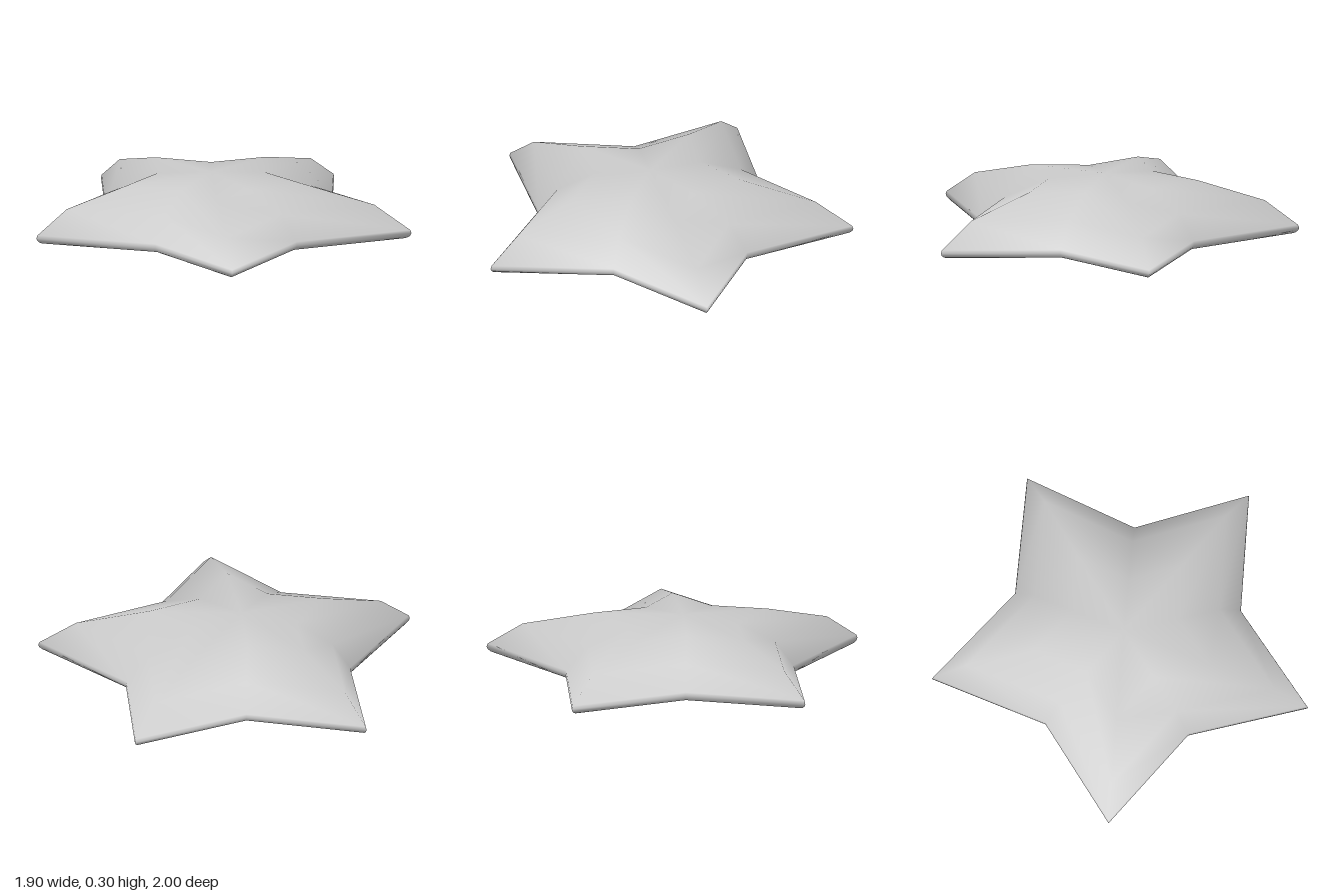
import * as THREE from 'three';

// Star outline as [x, z], tips and notches alternating, mirrored across z = 0
const half = [[0.72, 0], [0.95, 0.59], [0.3, 0.6], [-0.215, 1], [-0.42, 0.38], [-0.95, 0]];
const outline = [...half, ...half.slice(1, -1).reverse().map(([x, z]) => [x, -z])];

// Rings from the underside to the crown: [outline scale, height]
const rings = [
  [0.965, 0], [0.98, 0.005], [0.994, 0.016], [1, 0.03], [0.994, 0.047],
  [0.82, 0.175], [0.47, 0.27],
];

function makeMesh(name, positions, index) {
  const geometry = new THREE.BufferGeometry();
  geometry.setAttribute('position', new THREE.Float32BufferAttribute(positions, 3));
  geometry.setIndex(index);
  geometry.computeVertexNormals();
  const mesh = new THREE.Mesh(geometry, new THREE.MeshStandardMaterial({ color: 0xcccccc }));
  mesh.name = name;
  return mesh;
}

const ringPoints = ([scale, y]) => outline.flatMap(([x, z]) => [x * scale, y, z * scale]);

export function createModel() {
  const group = new THREE.Group();
  group.name = 'star';
  const n = outline.length;

  // Domed body: shared vertices give soft ridges and valleys
  const positions = [...rings.flatMap(ringPoints), 0.04, 0.3, 0];
  const apex = rings.length * n;
  const index = [];
  for (let i = 0; i < n; i++) {
    const k = (i + 1) % n;
    for (let j = 0; j < rings.length - 1; j++) {
      const a = j * n + i, b = j * n + k, c = b + n, d = a + n;
      index.push(a, d, c, a, c, b);
    }
    index.push(apex, apex - n + k, apex - n + i);
  }
  group.add(makeMesh('domedStar', positions, index));

  // Flat underside, a fan around the centre
  const fan = [];
  for (let i = 0; i < n; i++) fan.push(n, i, (i + 1) % n);
  group.add(makeMesh('underside', [...ringPoints(rings[0]), 0, 0, 0], fan));

  return group;
}
